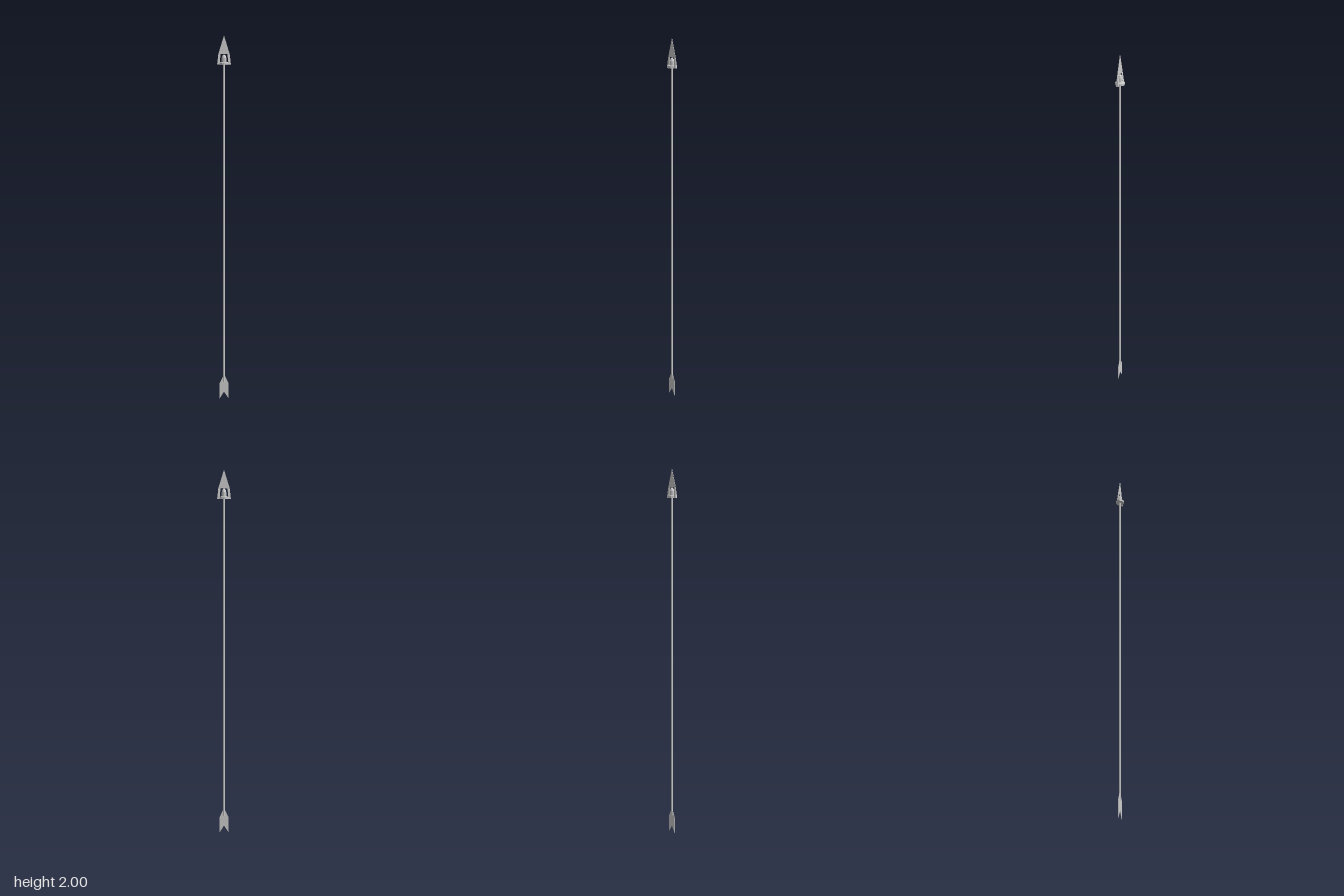
import * as THREE from 'three';

const material = new THREE.MeshStandardMaterial({ color: 0xcccccc, flatShading: true, side: THREE.DoubleSide });

function add(group, name, geometry, y = 0) {
  const mesh = new THREE.Mesh(geometry, material);
  mesh.name = name;
  mesh.position.y = y;
  group.add(mesh);
  return mesh;
}

// Flat plate in the xy plane, centred on z = 0
function plate(points, depth) {
  const shape = new THREE.Shape(points.map(([x, y]) => new THREE.Vector2(x, y)));
  const geometry = new THREE.ExtrudeGeometry(shape, { depth, bevelEnabled: false });
  return geometry.translate(0, 0, -depth / 2);
}

export function createModel() {
  const arrow = new THREE.Group();
  arrow.name = 'arrow';

  // Slender shaft
  add(arrow, 'shaft', new THREE.CylinderGeometry(0.006, 0.006, 1.76, 8), 0.98);

  // Thin pointed blade
  add(arrow, 'blade', plate([[-0.03, 1.905], [0.03, 1.905], [0, 2]], 0.002));

  // Barbs that thicken from the blade down to the base
  for (const side of [-1, 1]) {
    const barb = plate([[0.018, 1.905], [0.03, 1.905], [0.036, 1.85], [0.024, 1.85]], 0.012);
    const p = barb.attributes.position;
    for (let i = 0; i < p.count; i++) {
      const t = (1.905 - p.getY(i)) / 0.055;
      p.setZ(i, p.getZ(i) * (0.17 + 0.83 * t));
    }
    barb.computeVertexNormals();
    const mesh = add(arrow, side > 0 ? 'leftBarb' : 'rightBarb', barb);
    if (side < 0) mesh.rotation.y = Math.PI;
  }

  // Collar disc with a bullet-shaped socket on top
  const profile = [[0, 1.85], [0.024, 1.85], [0.024, 1.862], [0.0125, 1.865],
    [0.0125, 1.885], [0.009, 1.897], [0, 1.904]];
  add(arrow, 'socket', new THREE.LatheGeometry(profile.map(([x, y]) => new THREE.Vector2(x, y)), 10));

  // Flat fletching with a notched tail
  add(arrow, 'fletching', plate([[0, 0.04], [0.025, 0], [0.025, 0.09], [0.006, 0.13],
    [-0.006, 0.13], [-0.025, 0.09], [-0.025, 0]], 0.002));

  return arrow;
}
